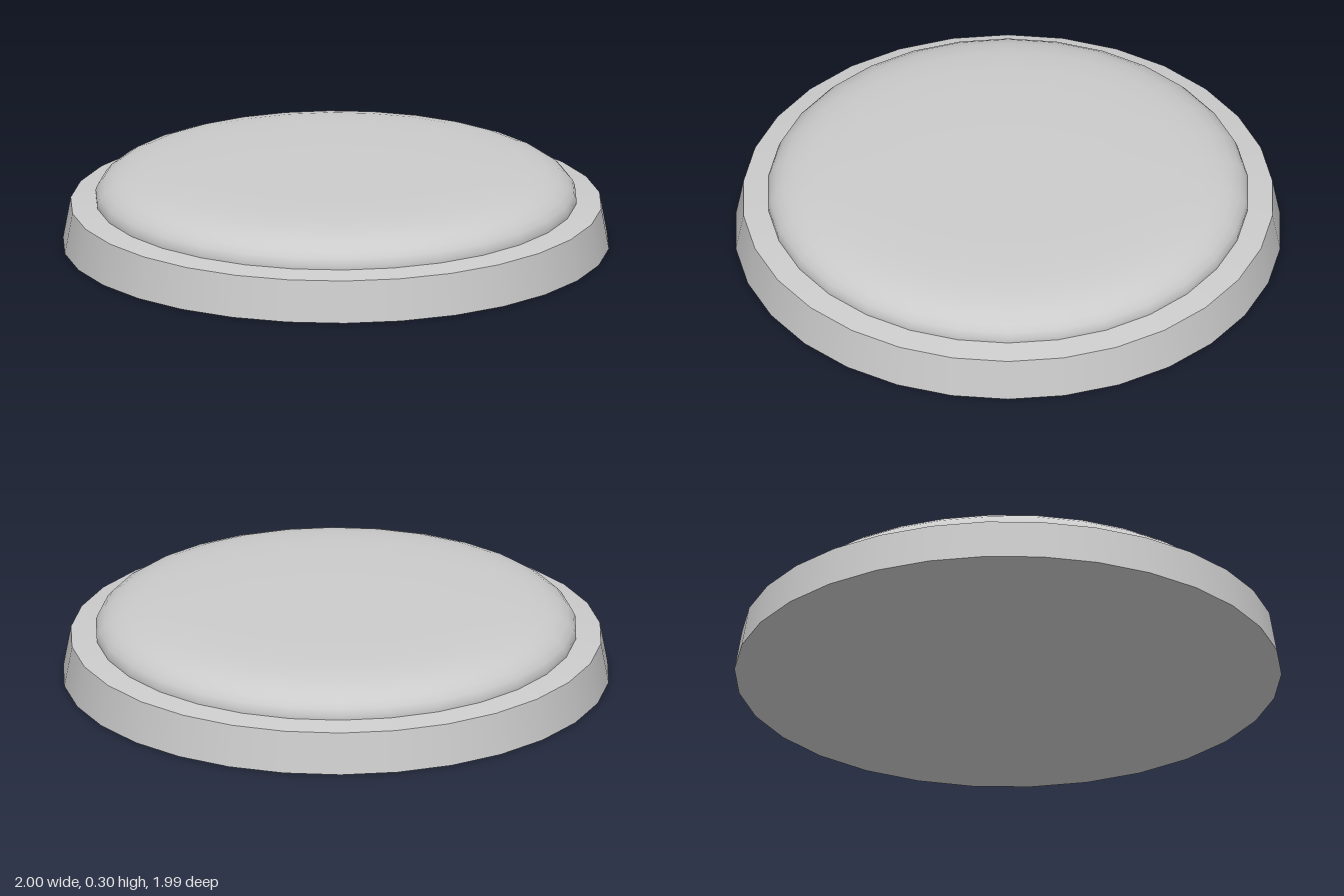
import * as THREE from 'three';

const SIDES = 30;

// Revolves a profile of [radius, height] points, listed from the bottom up
function turned(name, profile, material) {
  const points = profile.map(([r, y]) => new THREE.Vector2(r, y));
  const mesh = new THREE.Mesh(new THREE.LatheGeometry(points, SIDES, Math.PI / 2), material);
  mesh.name = name;
  return mesh;
}

export function createModel() {
  const material = new THREE.MeshStandardMaterial({ color: 0xcccccc });
  const model = new THREE.Group();
  model.name = 'roundButton';

  // Tapered base; separate surfaces keep its edges crisp
  const base = new THREE.Group();
  base.name = 'base';
  base.add(
    turned('baseUnderside', [[0, 0], [1, 0]], material),
    turned('baseWall', [[1, 0], [0.972, 0.153]], material),
    turned('baseLedge', [[0.972, 0.153], [0.88, 0.167]], material),
  );

  // Smooth cushion-like cap with a nearly flat centre
  const cap = turned('cap', [
    [0.88, 0.167], [0.881, 0.185], [0.872, 0.206], [0.852, 0.229],
    [0.82, 0.25], [0.775, 0.267], [0.71, 0.28], [0.62, 0.288],
    [0.5, 0.293], [0.38, 0.295], [0.2, 0.296], [0, 0.296],
  ], material);

  model.add(base, cap);
  return model;
}
